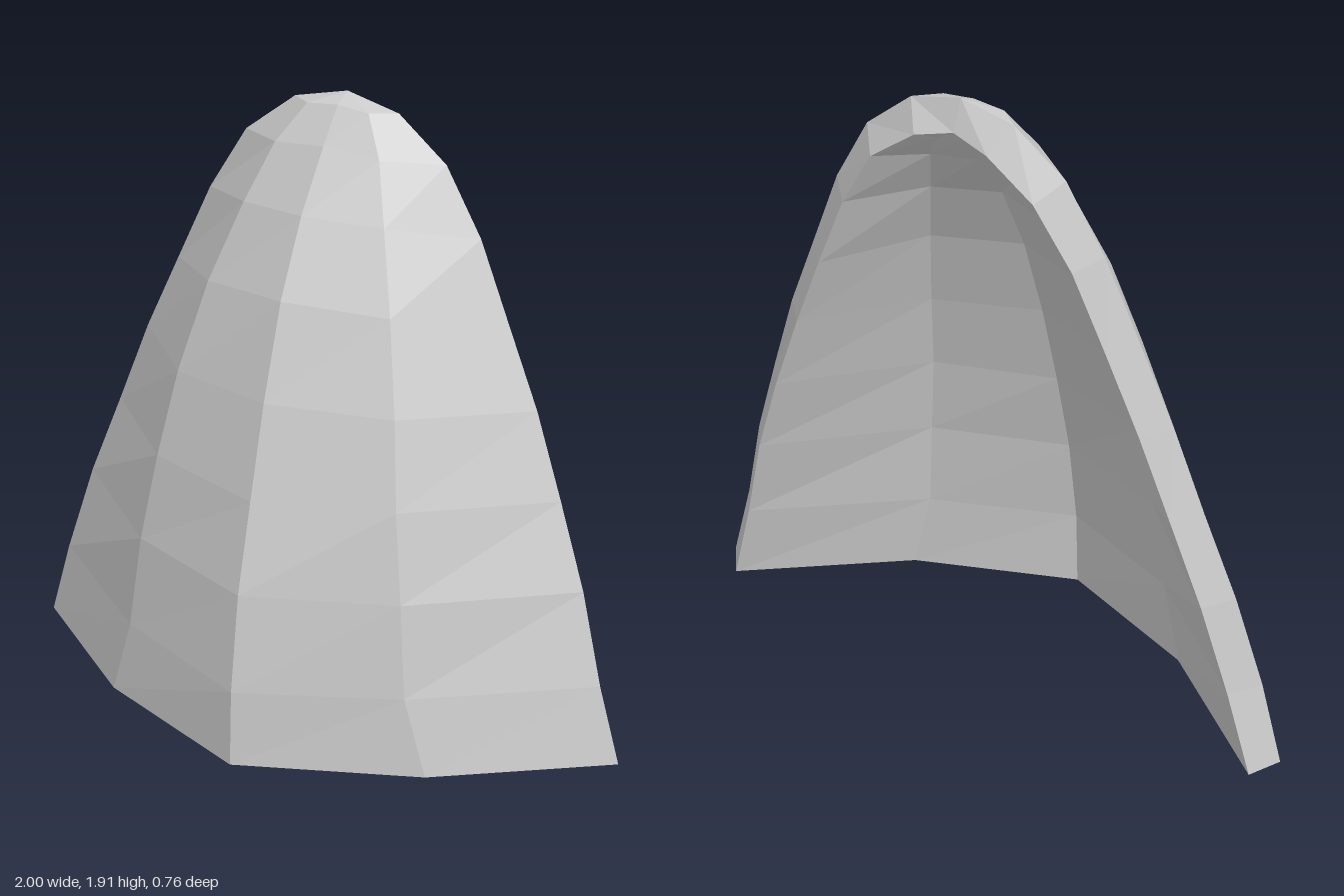
import * as THREE from 'three';

// Half cross-sections from the hem up to the apex: [ridge], [fold], [rim] as x, y, z
const outer = [
  [[0, 0.03, 0.38], [0.54, 0.035, 0.17], [1, 0.025, -0.19]],
  [[0, 0.27, 0.37], [0.47, 0.28, 0.175], [0.93, 0.27, -0.19]],
  [[0, 0.57, 0.325], [0.44, 0.57, 0.15], [0.85, 0.55, -0.22]],
  [[0, 0.84, 0.25], [0.4, 0.84, 0.11], [0.755, 0.81, -0.247]],
  [[0, 1.12, 0.17], [0.36, 1.1, 0.05], [0.66, 1.07, -0.267]],
  [[0, 1.4, 0.07], [0.3, 1.37, -0.03], [0.555, 1.31, -0.283]],
  [[0, 1.62, -0.05], [0.23, 1.6, -0.12], [0.45, 1.55, -0.3]],
  [[0, 1.79, -0.18], [0.17, 1.77, -0.2], [0.33, 1.75, -0.31]],
  [[0, 1.89, -0.265], [0.1, 1.88, -0.265], [0.17, 1.875, -0.32]],
  [[0, 1.915, -0.325], [0, 1.915, -0.325], [0, 1.915, -0.325]],
];
const inner = [
  [[0, 0.015, 0.28], [0.49, 0.015, 0.085], [0.94, 0, -0.265]],
  [[0, 0.26, 0.27], [0.43, 0.265, 0.09], [0.865, 0.26, -0.275]],
  [[0, 0.54, 0.225], [0.4, 0.55, 0.065], [0.785, 0.54, -0.303]],
  [[0, 0.81, 0.155], [0.36, 0.815, 0.025], [0.69, 0.8, -0.324]],
  [[0, 1.08, 0.075], [0.32, 1.07, -0.035], [0.59, 1.05, -0.336]],
  [[0, 1.34, -0.02], [0.265, 1.33, -0.11], [0.49, 1.28, -0.35]],
  [[0, 1.55, -0.13], [0.2, 1.54, -0.195], [0.385, 1.51, -0.363]],
  [[0, 1.7, -0.25], [0.14, 1.69, -0.275], [0.27, 1.69, -0.38]],
  [[0, 1.79, -0.335], [0.07, 1.785, -0.34], [0.12, 1.795, -0.38]],
  [[0, 1.825, -0.362], [0, 1.825, -0.362], [0, 1.825, -0.362]],
];

// Mirror a half section into five points running from -x to +x
const fullRow = ([ridge, fold, rim]) => {
  const flip = ([x, y, z]) => [-x, y, z];
  return [flip(rim), flip(fold), ridge, fold, rim];
};

function shellGeometry() {
  // Closed loops: along the outside, then back along the inside
  const rings = outer.map((o, r) => [...fullRow(o), ...fullRow(inner[r]).reverse()]);
  const positions = [];
  const same = (a, b) => a.every((v, i) => Math.abs(v - b[i]) < 1e-6);
  const tri = (a, b, c) => {
    if (!same(a, b) && !same(b, c) && !same(a, c)) positions.push(...a, ...b, ...c);
  };
  const quad = (a, b, c, d) => { tri(a, b, c); tri(a, c, d); };

  // Outer skin, rim and inner skin
  for (let r = 0; r < rings.length - 1; r++) {
    const lo = rings[r], hi = rings[r + 1], n = lo.length;
    for (let i = 0; i < n; i++) {
      const j = (i + 1) % n;
      quad(lo[i], lo[j], hi[j], hi[i]);
    }
  }
  // Hem closing the thickness at the bottom
  const hem = rings[0];
  for (let i = 0; i < 4; i++) quad(hem[i], hem[9 - i], hem[8 - i], hem[i + 1]);

  const geometry = new THREE.BufferGeometry();
  geometry.setAttribute('position', new THREE.Float32BufferAttribute(positions, 3));
  geometry.computeVertexNormals();
  return geometry;
}

export function createModel() {
  const group = new THREE.Group();
  group.name = 'ridgedShell';
  const material = new THREE.MeshStandardMaterial({ color: 0xcccccc, flatShading: true });
  const shell = new THREE.Mesh(shellGeometry(), material);
  shell.name = 'shellPlate';
  group.add(shell);
  return group;
}
